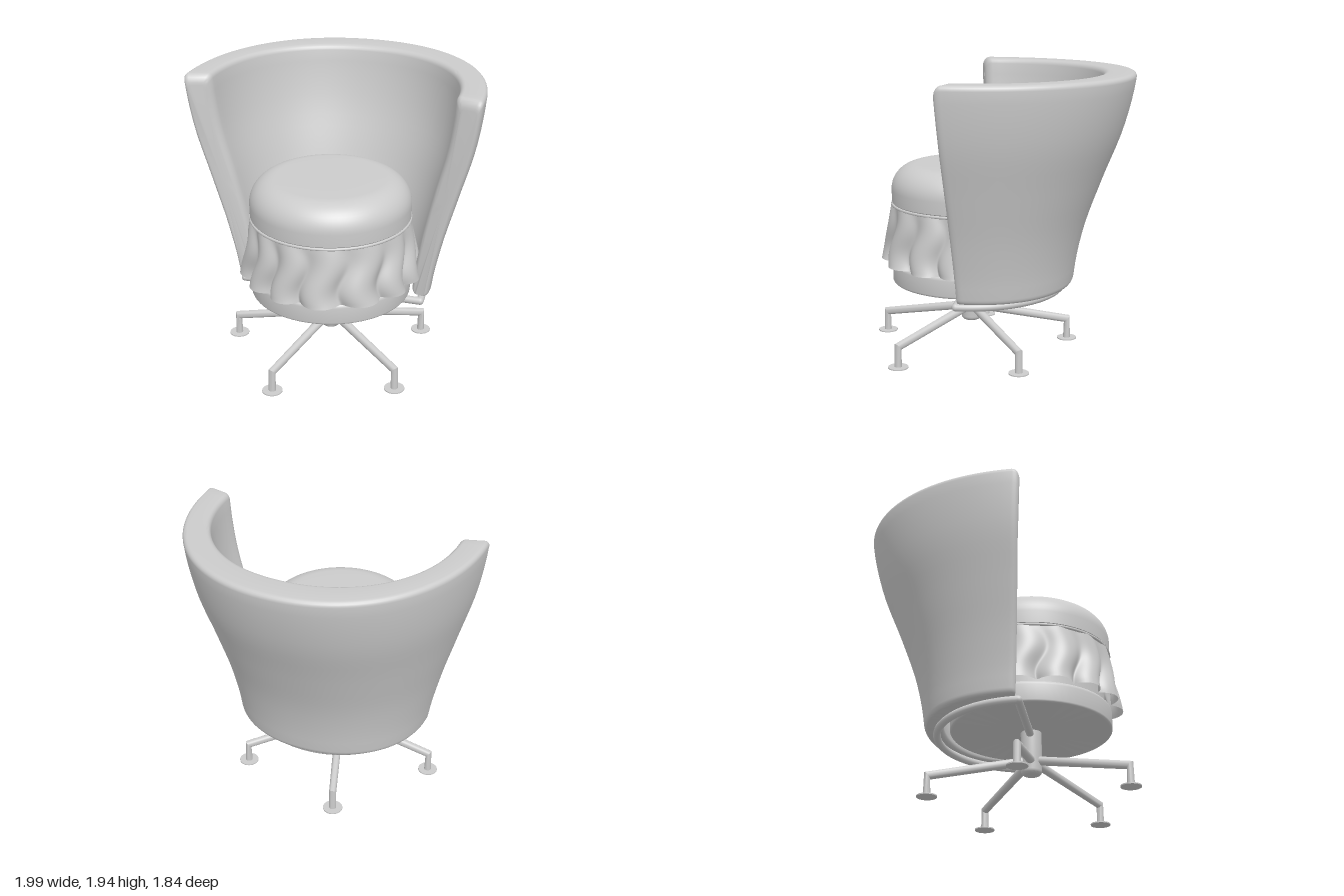
import * as THREE from 'three';
import { toCreasedNormals, mergeVertices } from 'three/addons/utils/BufferGeometryUtils.js';

const V = (x, y, z) => new THREE.Vector3(x, y, z);
const SEAT_Z = 0.2;
const grey = new THREE.MeshStandardMaterial({ color: 0xcccccc });
const cloth = new THREE.MeshStandardMaterial({ color: 0xcccccc, side: THREE.DoubleSide });

function add(parent, name, geometry, x = 0, y = 0, z = 0, material = grey) {
  const mesh = new THREE.Mesh(geometry, material);
  mesh.name = name;
  mesh.position.set(x, y, z);
  parent.add(mesh);
  return mesh;
}

// Skin over closed rings of equal length, with optional end caps
function loft(rings, capped = true) {
  const n = rings[0].length, pos = [], index = [];
  rings.forEach(r => r.forEach(p => pos.push(p.x, p.y, p.z)));
  for (let i = 0; i < rings.length - 1; i++)
    for (let j = 0; j < n; j++) {
      const a = i * n + j, b = i * n + (j + 1) % n;
      index.push(a, b, b + n, a, b + n, a + n);
    }
  if (capped) [0, rings.length - 1].forEach(k => {
    const c = rings[k].reduce((s, p) => s.add(p), V(0, 0, 0)).divideScalar(n);
    const id = pos.length / 3;
    pos.push(c.x, c.y, c.z);
    for (let j = 0; j < n; j++) {
      const a = k * n + j, b = k * n + (j + 1) % n;
      if (k === 0) index.push(id, b, a); else index.push(id, a, b);
    }
  });
  const g = new THREE.BufferGeometry();
  g.setAttribute('position', new THREE.Float32BufferAttribute(pos, 3));
  g.setIndex(index);
  g.computeVertexNormals();
  return g;
}

// Turned solid from a bottom-to-top profile
function turned(points, segments = 64) {
  const g = new THREE.LatheGeometry(points.map(p => new THREE.Vector2(p[0], p[1])), segments);
  return toCreasedNormals(g, 0.6);
}

// Points along an elliptical corner
function corner(cx, cy, rx, ry, from, to, steps) {
  return Array.from({ length: steps + 1 }, (_, i) => {
    const a = from + (to - from) * i / steps;
    return [cx + rx * Math.cos(a), cy + ry * Math.sin(a)];
  });
}

// Smooth value through evenly spaced samples
function sampler(values) {
  const curve = new THREE.SplineCurve(values.map((v, i) => new THREE.Vector2(i, v)));
  return t => curve.getPoint(Math.min(1, Math.max(0, t))).y;
}

// Wrap-around back: a rounded wall section swept round the seat
function shellGeometry() {
  const y0 = 0.49, y1 = 1.94, H = Math.PI / 2;
  const outerX = sampler([0.68, 0.75, 0.85, 0.95, 1.0]);
  const outerBack = sampler([-0.51, -0.575, -0.7, -0.84, -0.92]);
  const innerX = sampler([0.555, 0.605, 0.685, 0.775, 0.82]);
  const innerBack = sampler([-0.38, -0.43, -0.53, -0.64, -0.7]);

  // Wall section: w runs 0 (outside) to 1 (inside)
  const rw = 0.18, ry = 0.035, steps = 18, section = [];
  const side = (w, from, to) => {
    for (let i = 1; i < steps; i++) section.push([w, from + (to - from) * i / steps]);
  };
  section.push(...corner(rw, y1 - ry, rw, ry, H, 2 * H, 5));
  side(0, y1 - ry, y0 + ry);
  section.push(...corner(rw, y0 + ry, rw, ry, 2 * H, 3 * H, 5));
  section.push(...corner(1 - rw, y0 + ry, rw, ry, 3 * H, 4 * H, 5));
  side(1, y0 + ry, y1 - ry);
  section.push(...corner(1 - rw, y1 - ry, rw, ry, 0, H, 5));

  const p = 2 / 2.12;
  const pow = v => Math.sign(v) * Math.abs(v) ** p;
  const ring = (angle, phi) => section.map(([w, y]) => {
    const t = (y - y0) / (y1 - y0);
    const c = pow(Math.cos(angle)), s = pow(Math.sin(angle));
    const ww = 0.5 + (w - 0.5) * (0.6 + 0.4 * Math.cos(phi));
    const zo = 0.14 + 0.08 * t, zi = 0.1 + 0.07 * t;
    const x = THREE.MathUtils.lerp(outerX(t), innerX(t), ww) * c;
    const z = THREE.MathUtils.lerp(zo - (zo - outerBack(t)) * s, zi - (zi - innerBack(t)) * s, ww);
    return V(x, y - 0.07 * (1 - Math.cos(phi)) * t ** 4, z + 0.055 * Math.sin(phi));
  });

  const rings = [], caps = 6, sweep = 64;
  for (let i = caps; i > 0; i--) rings.push(ring(0, H * i / caps));
  for (let i = 0; i <= sweep; i++) rings.push(ring(Math.PI * i / sweep, 0));
  for (let i = 1; i <= caps; i++) rings.push(ring(Math.PI, H * i / caps));
  return toCreasedNormals(mergeVertices(loft(rings)), 0.7);
}

// Gathered skirt: folds deepen and sway towards the hem
function skirtGeometry() {
  const folds = 14, around = 336, down = 20, rings = [];
  for (let i = 0; i <= down; i++) {
    const t = i / down;
    rings.push(Array.from({ length: around }, (_, j) => {
      const a = j / around * Math.PI * 2;
      const phase = folds * a + 0.9 * Math.sin(5.5 * t + 0.5 * Math.sin(2 * a)) + 0.6 * Math.sin(3 * a);
      const r = 0.54 + 0.045 * t + (0.008 + 0.03 * t) * Math.cos(phase);
      const b = a + 0.045 * Math.sin(phase) * Math.sqrt(t);
      return V(r * Math.cos(b), 1.025 - 0.39 * t, r * Math.sin(b));
    }));
  }
  return loft(rings, false);
}

// One leg along +x: sloping arm, mitred elbow, short upright
function legGeometry() {
  const circle = (cx, cy, dx, dy, r, stretch = 1) => Array.from({ length: 16 }, (_, i) => {
    const a = i / 16 * Math.PI * 2, u = Math.cos(a) * r * stretch, v = Math.sin(a) * r;
    return V(cx - dy * u, cy + dx * u, v);
  });
  const rings = [
    circle(0.03, 0.285, 0.98, -0.2, 0.03),
    circle(0.69, 0.145, 0.77, -0.64, 0.025, 1.25),
    circle(0.69, 0.005, 0, -1, 0.025),
  ];
  return toCreasedNormals(loft(rings), 0.6);
}

export function createModel() {
  const model = new THREE.Group();
  model.name = 'swivelChair';

  add(model, 'wrapAroundBack', shellGeometry());

  // Seat
  const seat = new THREE.Group();
  seat.name = 'seat';
  seat.position.z = SEAT_Z;
  model.add(seat);
  const H = Math.PI / 2;
  add(seat, 'seatBase', turned([
    [0, 0.485], ...corner(0.53, 0.5, 0.015, 0.015, -H, 0, 4),
    ...corner(0.515, 0.605, 0.03, 0.03, 0, H, 5), [0.5, 0.635], [0.5, 1.03], [0, 1.03],
  ]));
  add(seat, 'seatCushion', turned([
    [0, 1.03], [0.53, 1.03], [0.543, 1.045],
    ...corner(0.365, 1.13, 0.18, 0.175, 0, H, 12), [0.2, 1.305], [0, 1.305],
  ], 80));
  const piping = add(seat, 'cushionPiping', new THREE.TorusGeometry(0.54, 0.01, 8, 80), 0, 1.03);
  piping.rotation.x = H;
  add(seat, 'ruffledSkirt', skirtGeometry(), 0, 0, 0, cloth);

  // Half-round support frame closed by a straight bar
  const frame = new THREE.Group();
  frame.name = 'supportFrame';
  frame.position.set(0, 0.46, SEAT_Z);
  model.add(frame);
  const R = 0.63, tube = 0.026;
  add(frame, 'frameArc', new THREE.TorusGeometry(R, tube, 12, 64, Math.PI)).rotation.x = -H;
  add(frame, 'frameBar', new THREE.CylinderGeometry(tube, tube, 2 * R, 16)).rotation.z = H;
  for (const s of [-1, 1]) add(frame, 'frameCorner', new THREE.SphereGeometry(tube, 16, 12), s * R);

  // Five-legged pedestal
  const base = new THREE.Group();
  base.name = 'pedestal';
  base.position.z = SEAT_Z;
  model.add(base);
  add(base, 'hub', turned([
    [0, 0.185], ...corner(0.04, 0.215, 0.03, 0.03, -H, 0, 5), [0.07, 0.49], [0, 0.49],
  ], 32));
  const leg = legGeometry();
  for (let i = 0; i < 5; i++) {
    const arm = new THREE.Group();
    arm.name = 'leg' + (i + 1);
    arm.rotation.y = Math.PI + i * Math.PI * 2 / 5;
    base.add(arm);
    add(arm, 'legTube', leg);
    add(arm, 'footDisc', new THREE.CylinderGeometry(0.068, 0.068, 0.008, 32), 0.69, 0.004);
  }
  return model;
}
